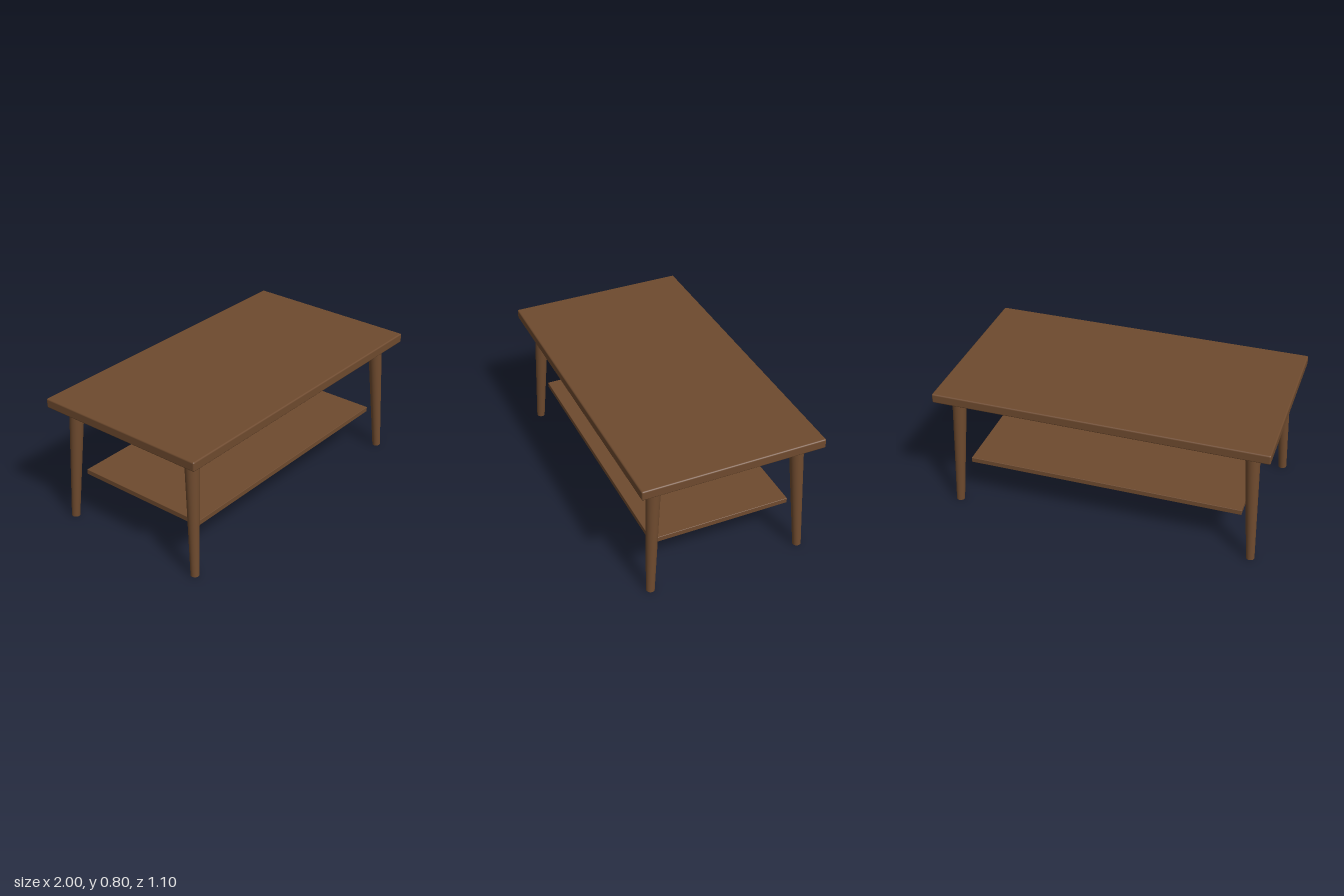
import * as THREE from 'three';
import { RoundedBoxGeometry } from 'three/addons/geometries/RoundedBoxGeometry.js';

export function createModel() {
  const table = new THREE.Group();
  table.name = 'coffeeTable';
  const wood = new THREE.MeshStandardMaterial({ color: 0x6e4a2e });
  wood.name = 'walnut brown';

  const add = (geometry, name, y = 0) => {
    const mesh = new THREE.Mesh(geometry, wood);
    mesh.name = name;
    mesh.position.y = y;
    table.add(mesh);
    return mesh;
  };

  // Thick top with softened edges, and a thin shelf between the legs
  add(new RoundedBoxGeometry(2, 0.058, 1.1, 3, 0.009), 'tabletop', 0.771);
  add(new RoundedBoxGeometry(1.68, 0.032, 0.86, 2, 0.003), 'shelf', 0.283);

  // Four tapered round legs, splayed outwards towards the floor
  const up = new THREE.Vector3(0, 1, 0);
  for (const [sx, end] of [[1, 'left'], [-1, 'right']]) {
    for (const [sz, side] of [[1, 'Front'], [-1, 'Back']]) {
      const foot = new THREE.Vector3(sx * 0.918, 0.002, sz * 0.471);
      const head = new THREE.Vector3(sx * 0.88, 0.741, sz * 0.433);
      const axis = head.clone().sub(foot);
      const leg = add(new THREE.CylinderGeometry(0.043, 0.025, axis.length(), 32), end + side + 'Leg');
      leg.position.copy(foot).add(head).multiplyScalar(0.5);
      leg.quaternion.setFromUnitVectors(up, axis.normalize());
    }
  }
  return table;
}
